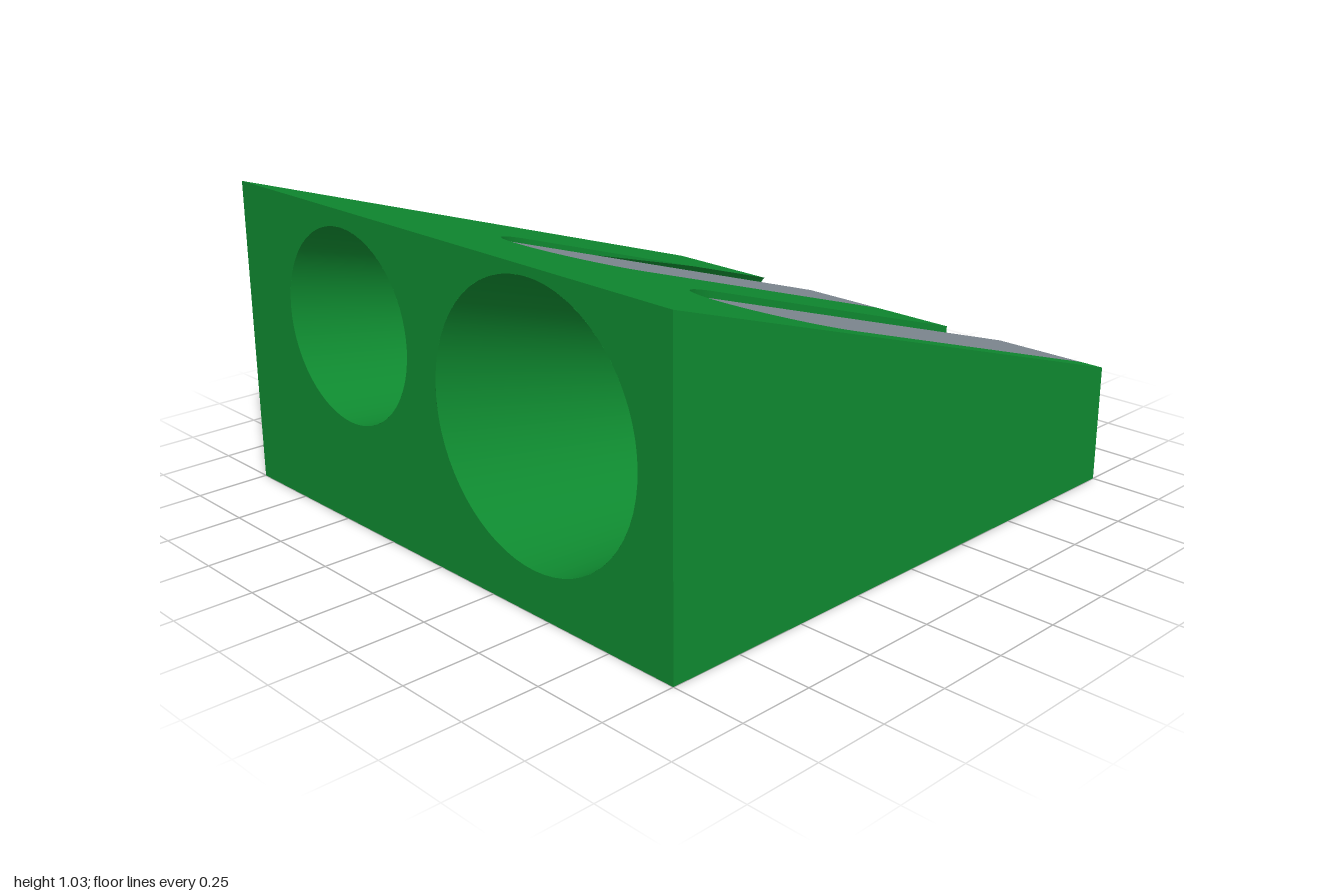
import * as THREE from 'three';
import { ParametricGeometry } from 'three/addons/geometries/ParametricGeometry.js';

const green = new THREE.MeshStandardMaterial({ color: 0x0f8a30, side: THREE.DoubleSide });
const steel = new THREE.MeshStandardMaterial({ color: 0x808a92, side: THREE.DoubleSide });

// Sloping top of the wedge, and the depth and outline of a blade slot
const top = x => 0.715 - 0.315 * x;
const DEPTH = 0.037, SLOT_R = 0.28, SLOT_X = -0.19, SLOT_MID = 0.2;
const lerpX = (a, b, x) => a + (b - a) * (x + 1) / 2;

// Two tapered pencil holes: centre height and radius at x = -1 and x = 1
const holes = [
  { z: -0.44, y: [0.66, 0.31], r: [0.315, 0.13], size: 'small' },
  { z: 0.44, y: [0.57, 0.21], r: [0.43, 0.165], size: 'large' },
];
const cy = (h, x) => lerpX(h.y[0], h.y[1], x);
const cr = (h, x) => lerpX(h.r[0], h.r[1], x);
const halfWidth = (h, x, y) => Math.sqrt(Math.max(0, cr(h, x) ** 2 - (y - cy(h, x)) ** 2));
const coneTop = (h, x, dz) => cy(h, x) + Math.sqrt(cr(h, x) ** 2 - dz * dz);

// Open side of the slot, as an offset in z from the hole's axis
function slotEdge(h, x) {
  if (x < SLOT_X) {
    return SLOT_MID - Math.sqrt(Math.max(0, SLOT_R ** 2 - (x - SLOT_X) ** 2));
  }
  return -Math.max(SLOT_R - SLOT_MID, x > 0.4 ? halfWidth(h, x, top(x)) : 0);
}

// Angles of the part of the hole's wall that the slot leaves standing
function wallArc(h, x) {
  const hi = halfWidth(h, x, top(x) - DEPTH);
  const lo = Math.min(slotEdge(h, x), hi), r = cr(h, x);
  return [Math.asin(hi / r), Math.asin(lo / r) + 2 * Math.PI];
}

function add(group, name, geometry, material) {
  const mesh = new THREE.Mesh(geometry, material);
  mesh.name = name;
  group.add(mesh);
}

// Flat panel from a 2D outline, placed in space by a mapping
function panel(points, map, cutouts = []) {
  const shape = new THREE.Shape(points.map(p => new THREE.Vector2(...p)));
  shape.holes.push(...cutouts);
  const geo = new THREE.ShapeGeometry(shape, 32);
  const pos = geo.attributes.position;
  for (let i = 0; i < pos.count; i++) pos.setXYZ(i, ...map(pos.getX(i), pos.getY(i)));
  geo.computeVertexNormals();
  return geo;
}

// Strips of quads between consecutive rows of points
function loft(rows, closed) {
  const verts = [];
  const quad = (a, b, c, d) => verts.push(...a, ...b, ...c, ...a, ...c, ...d);
  for (let i = 0; i + 1 < rows.length; i++) {
    const n = rows[i].length;
    for (let j = 0; j < (closed ? n : n - 1); j++) {
      const k = (j + 1) % n;
      quad(rows[i][j], rows[i + 1][j], rows[i + 1][k], rows[i][k]);
    }
  }
  if (closed) {
    quad(...rows[0]);
    quad(...[...rows[rows.length - 1]].reverse());
  }
  const geo = new THREE.BufferGeometry();
  geo.setAttribute('position', new THREE.Float32BufferAttribute(verts, 3));
  geo.computeVertexNormals();
  return geo;
}

// Points [x, dz] round the end of the slot, from angle a to angle b
function slotArc(a, b, n) {
  return Array.from({ length: n + 1 }, (_, i) => {
    const t = a + (b - a) * i / n;
    return [SLOT_X - SLOT_R * Math.sin(t), SLOT_MID - SLOT_R * Math.cos(t)];
  });
}

// Straight open edge of the slot, running to the low end
function openEdge(h) {
  return Array.from({ length: 25 }, (_, i) => {
    const x = SLOT_X + (1 - SLOT_X) * i / 24;
    return [x, slotEdge(h, x)];
  });
}

function buildBody() {
  const body = new THREE.Group();
  body.name = 'body';
  const H = top(-1), L = top(1);
  add(body, 'frontSide', panel([[-1, 0], [1, 0], [1, L], [-1, H]], (u, v) => [u, v, 1]), green);
  add(body, 'backSide', panel([[1, 0], [1, H], [-1, L], [-1, 0]], (u, v) => [-u, v, -1]), green);
  add(body, 'base', panel([[-1, -1], [1, -1], [1, 1], [-1, 1]], (u, v) => [u, 0, v]), green);

  // High end with the two wide mouths
  const mouths = holes.map(h => new THREE.Path().absarc(h.z, h.y[0], h.r[0], 0, 2 * Math.PI, true));
  add(body, 'highEnd', panel([[-1, 0], [1, 0], [1, H], [-1, H]], (u, v) => [-1, v, u], mouths), green);

  // Low end, notched by the slots and narrow ends of the holes
  const low = [[-1, 0], [1, 0], [1, L]];
  const slope = [[-1, -1], [1, -1]];
  for (const h of holes) {
    const [a, b] = wallArc(h, 1);
    low.push([-(h.z + slotEdge(h, 1)), L]);
    for (let i = 0; i <= 40; i++) {
      const t = b + (a - b) * i / 40;
      low.push([-(h.z + h.r[1] * Math.sin(t)), h.y[1] + h.r[1] * Math.cos(t)]);
    }
    low.push([-(h.z + 0.48), L - DEPTH], [-(h.z + 0.48), L]);
  }
  low.push([-1, L]);
  add(body, 'lowEnd', panel(low, (u, v) => [1, v, -u]), green);

  // Sloping top with two round-ended slots
  const outline = [[1, -1], [-1, -1], [-1, 1], [1, 1]];
  for (const h of [...holes].reverse()) {
    const edge = [[1, 0.48], ...slotArc(Math.PI, 0, 32), ...openEdge(h).slice(1)];
    outline.push(...edge.map(([x, dz]) => [x, h.z + dz]));
  }
  add(body, 'slopingTop', panel(outline.map(([x, z]) => [x, -z]), (u, v) => [u, top(u), -v]), green);

  for (const h of holes) {
    // Tapered hole, left open where the slot meets it
    add(body, h.size + 'PencilHole', new ParametricGeometry((u, v, target) => {
      const x = 2 * u - 1, r = cr(h, x), [a, b] = wallArc(h, x), t = a + (b - a) * v;
      target.set(x, cy(h, x) + r * Math.cos(t), h.z + r * Math.sin(t));
    }, 80, 56), green);
    // Exposed wall of the slot, down to the hole
    const path = [...slotArc(Math.acos(SLOT_MID / SLOT_R), 0, 12), ...openEdge(h).slice(1)];
    add(body, h.size + 'SlotWall', loft(path.map(([x, dz]) => [
      [x, top(x), h.z + dz],
      [x, Math.min(top(x), coneTop(h, x, dz)), h.z + dz],
    ]), false), green);
  }
  return body;
}

// Blade flush with the slope, its cutting edge ground down over the hole
function bladeGeometry(h) {
  const edge = Math.acos(SLOT_MID / SLOT_R), ridge = Math.acos(0.05 / SLOT_R);
  const points = [...slotArc(edge, ridge, 8), ...slotArc(ridge, Math.PI, 20).slice(1)];
  return loft(points.map(([x, dz]) => {
    const drop = 0.03 * Math.max(0, 1 - dz / 0.15), z = h.z + dz;
    return [
      [x, top(x) - drop, z], [1, top(1) - drop, z],
      [1, top(1) - DEPTH, z], [x, top(x) - DEPTH, z],
    ];
  }), true);
}

export function createModel() {
  const model = new THREE.Group();
  model.name = 'pencilSharpener';
  model.add(buildBody());
  for (const h of holes) add(model, h.size + 'Blade', bladeGeometry(h), steel);
  return model;
}
